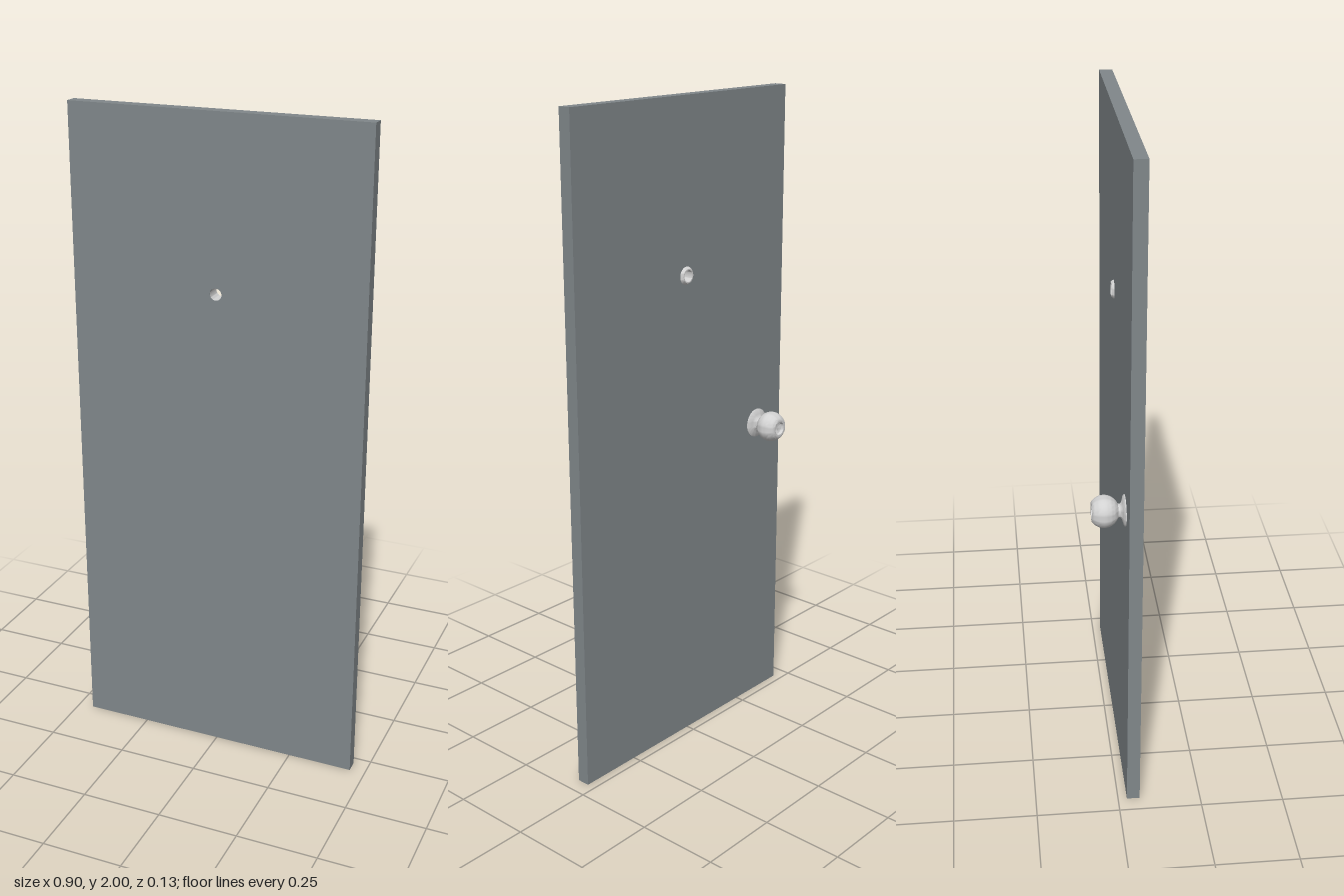
import * as THREE from 'three';
import { toCreasedNormals } from 'three/addons/utils/BufferGeometryUtils.js';

const FRONT = 0.066, BACK = 0.027; // z of the slab faces
const HOLE_Y = 1.487, HOLE_R = 0.0175;

// Turned part: profile is [radius, distance out from the back face]
function turned(name, profile, x, y, material) {
  const points = profile.map(([r, d]) => new THREE.Vector2(r, d));
  const geometry = toCreasedNormals(new THREE.LatheGeometry(points, 40), 0.6);
  geometry.rotateX(-Math.PI / 2); // axis points to -z
  const mesh = new THREE.Mesh(geometry, material);
  mesh.name = name;
  mesh.position.set(x, y, BACK);
  return mesh;
}

export function createModel() {
  const group = new THREE.Group();
  group.name = 'door';
  const paint = new THREE.MeshStandardMaterial({ color: 0x80878a });
  paint.name = 'grey paint';
  const metal = new THREE.MeshStandardMaterial({ color: 0xd2d2d2 });
  metal.name = 'pale metal';

  // Slab with a round hole for the peephole
  const outline = new THREE.Shape([
    new THREE.Vector2(-0.452, 0), new THREE.Vector2(0.452, 0),
    new THREE.Vector2(0.452, 2), new THREE.Vector2(-0.452, 2),
  ]);
  outline.holes.push(new THREE.Path().absarc(0, HOLE_Y, HOLE_R + 0.0005, 0, Math.PI * 2, true));
  const slabGeometry = new THREE.ExtrudeGeometry(outline, {
    depth: FRONT - BACK, bevelEnabled: false, curveSegments: 20,
  });
  const slab = new THREE.Mesh(slabGeometry, paint);
  slab.name = 'slab';
  slab.position.z = BACK;
  group.add(slab);

  // Peephole: bevelled ring on the back and an open barrel through the slab
  group.add(turned('peephole', [
    [0.027, 0], [0.026, 0.003], [0.021, 0.008], [HOLE_R, 0.008], [HOLE_R, BACK - FRONT],
  ], 0, HOLE_Y, metal));

  // Knob: rosette, neck, round grip and a dished end
  const profile = [
    [0.046, 0], [0.046, 0.002], [0.042, 0.005], [0.03, 0.008],
    [0.023, 0.011], [0.02, 0.014], [0.02, 0.018],
  ];
  for (let i = 0; i <= 14; i++) {
    const a = THREE.MathUtils.lerp(-1.12, 0.92, i / 14);
    profile.push([0.047 * Math.cos(a), 0.06 + 0.044 * Math.sin(a)]);
  }
  profile.push([0.0255, 0.0955], [0.0205, 0.0945], [0.0185, 0.086], [0.011, 0.082], [0, 0.081]);
  group.add(turned('knob', profile, -0.335, 0.955, metal));

  return group;
}
